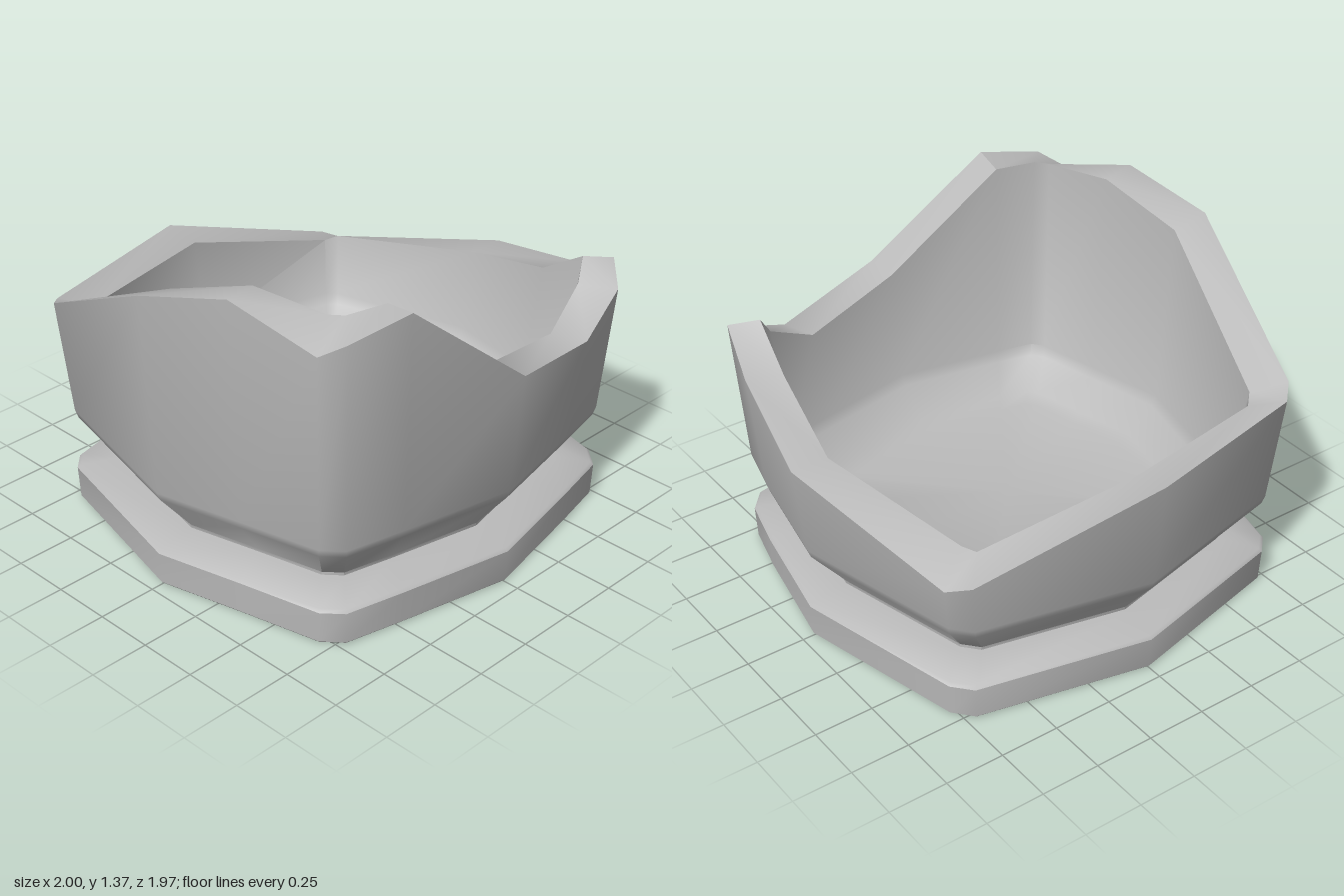
import * as THREE from 'three';
import { toCreasedNormals } from 'three/addons/utils/BufferGeometryUtils.js';

// Broken rim, going round from +x towards +z: outer edge and inner edge
const OUTER = [
  [1, 0.81, 0], [0.9, 0.92, 0.5], [0.84, 1.04, 0.73], [0.76, 0.96, 0.82],
  [0.5, 0.85, 0.88], [0, 0.94, 0.985], [-0.5, 1.35, 0.88], [-0.76, 1.3, 0.82],
  [-0.83, 1.25, 0.74], [-0.91, 1.37, 0.38], [-1, 1.28, 0], [-0.82, 0.91, -0.74],
  [-0.75, 0.88, -0.81], [0, 0.89, -0.985], [0.75, 0.66, -0.82], [0.82, 0.63, -0.74],
];
const INNER = [
  [0.84, 0.81, 0], [0.76, 0.92, 0.44], [0.73, 1.06, 0.66], [0.67, 0.97, 0.69],
  [0.45, 0.85, 0.74], [0, 0.94, 0.83], [-0.48, 1.33, 0.74], [-0.65, 1.33, 0.7],
  [-0.69, 1.33, 0.65], [-0.76, 1.36, 0.35], [-0.84, 1.25, 0], [-0.69, 0.87, -0.66],
  [-0.64, 0.85, -0.71], [0, 0.86, -0.83], [0.64, 0.7, -0.69], [0.68, 0.72, -0.65],
];

// Level copy of an edge, scaled about the centre
const level = (edge, scale, y) => edge.map(([x, , z]) => [x * scale, y, z * scale]);

// Skin a list of rings, given from the bottom upwards on the outside
function loft(rings, crease) {
  const pos = [];
  const n = rings[0].length;
  for (let i = 0; i < rings.length - 1; i++) {
    for (let j = 0; j < n; j++) {
      const k = (j + 1) % n;
      const a = rings[i][j], b = rings[i + 1][j];
      const c = rings[i][k], d = rings[i + 1][k];
      // a ring of scale 0 is a centre point and needs one triangle only
      const startsAtCentre = a[0] === c[0] && a[2] === c[2];
      const endsAtCentre = b[0] === d[0] && b[2] === d[2];
      if (!startsAtCentre) pos.push(...a, ...b, ...c);
      if (!endsAtCentre) pos.push(...c, ...b, ...d);
    }
  }
  const geometry = new THREE.BufferGeometry();
  geometry.setAttribute('position', new THREE.Float32BufferAttribute(pos, 3));
  return toCreasedNormals(geometry, crease);
}

export function createModel() {
  const group = new THREE.Group();
  group.name = 'brokenPot';
  const clay = new THREE.MeshStandardMaterial({ color: 0xbababa });
  clay.name = 'grey clay';

  const add = (name, geometry) => {
    const mesh = new THREE.Mesh(geometry, clay);
    mesh.name = name;
    group.add(mesh);
  };

  // Saucer: flat foot, upright edge and a top sloping up to the neck
  add('saucer', loft([
    level(OUTER, 0, 0),
    level(OUTER, 0.94, 0),
    level(OUTER, 0.95, 0.01),
    level(OUTER, 0.957, 0.145),
    level(OUTER, 0.945, 0.157),
    level(OUTER, 0.81, 0.187),
    level(OUTER, 0, 0.187),
  ], 0.7));

  // Bowl: neck, flared underside, wall, broken rim, inner wall and floor
  add('bowl', loft([
    level(OUTER, 0.79, 0.18),
    level(OUTER, 0.79, 0.2),
    level(OUTER, 0.94, 0.385),
    level(OUTER, 0.952, 0.42),
    OUTER,
    INNER,
    level(INNER, 0.93, 0.47),
    level(INNER, 0.9, 0.43),
    level(INNER, 0.76, 0.325),
    level(INNER, 0.69, 0.3),
    level(INNER, 0, 0.3),
  ], 0.7));

  return group;
}
